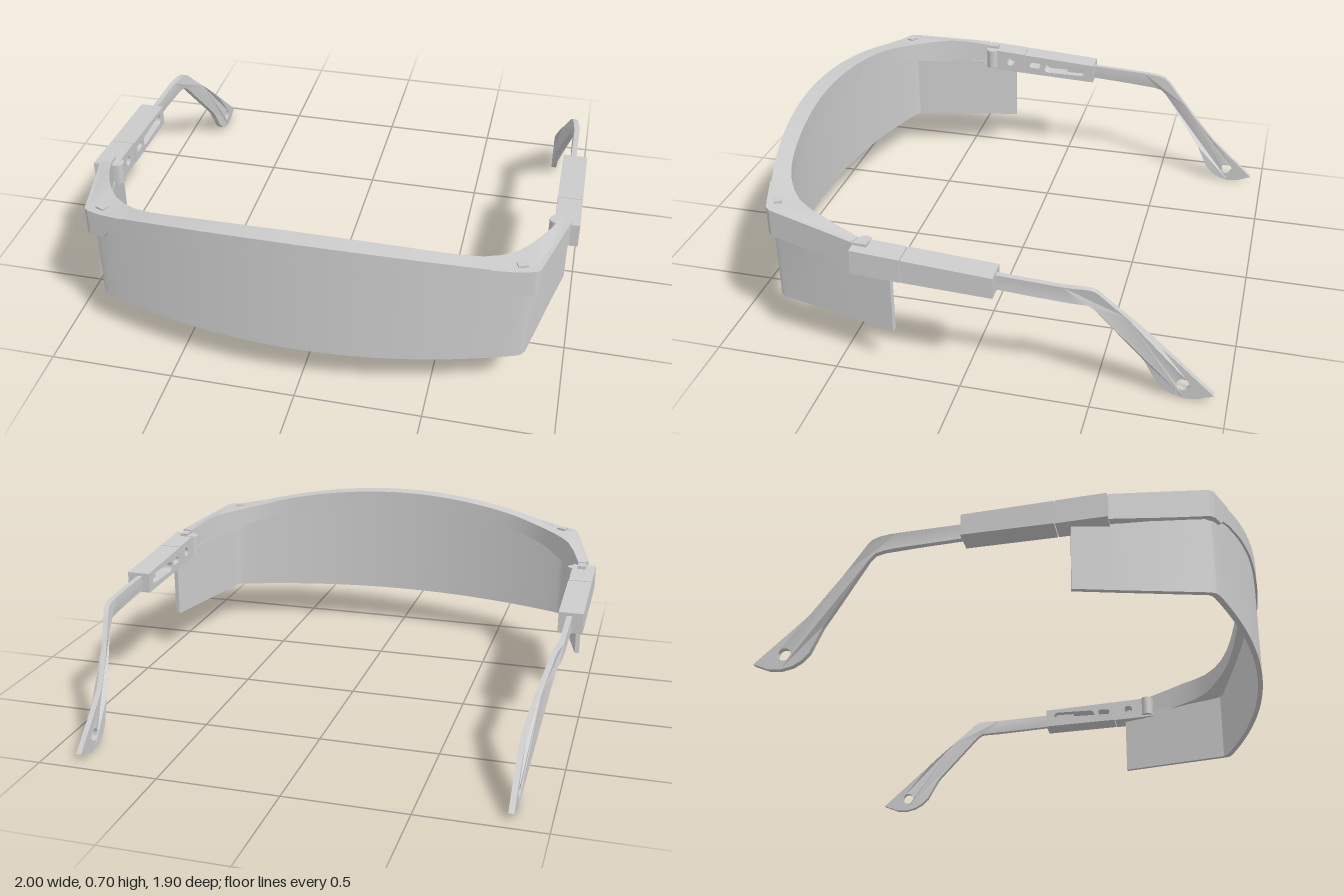
import * as THREE from 'three';
import { toCreasedNormals } from 'three/addons/utils/BufferGeometryUtils.js';

const grey = new THREE.MeshStandardMaterial({ color: 0xcccccc });

function addMesh(parent, name, geometry) {
  const mesh = new THREE.Mesh(geometry, grey);
  mesh.name = name;
  parent.add(mesh);
  return mesh;
}

// Piecewise-linear lookup in a short list of [x, value]
function lookup(table, x) {
  for (let i = 1; i < table.length; i++) {
    const [x0, v0] = table[i - 1], [x1, v1] = table[i];
    if (x <= x1) return THREE.MathUtils.lerp(v0, v1, (x - x0) / (x1 - x0));
  }
  return table[table.length - 1][1];
}

// Sweep a four-sided section; station = [outerX, outerZ, innerX, innerZ, top, bottom]
function loft(stations) {
  const rings = stations.map(([ox, oz, ix, iz, top, bottom]) => [
    [ox, bottom, oz], [ox, top, oz], [ix, top, iz], [ix, bottom, iz]]);
  const pos = [];
  const quad = (a, b, c, d) => pos.push(...a, ...b, ...c, ...a, ...c, ...d);
  for (let i = 0; i + 1 < rings.length; i++) {
    const r = rings[i], s = rings[i + 1];
    for (let k = 0; k < 4; k++) quad(r[k], s[k], s[(k + 1) % 4], r[(k + 1) % 4]);
  }
  quad(...rings[0]);
  quad(...[...rings[rings.length - 1]].reverse());
  const geometry = new THREE.BufferGeometry();
  geometry.setAttribute('position', new THREE.Float32BufferAttribute(pos, 3));
  return toCreasedNormals(geometry, 0.45);
}

// Complete a half list of stations (starting at x = 0) to both sides
function mirrored(half) {
  const other = half.slice(1).reverse().map(([ox, oz, ix, iz, t, b]) => [-ox, oz, -ix, iz, t, b]);
  return [...other, ...half];
}

// Side profile in (z, y), extruded inward from x = outer
function sideExtrude(points, outer, depth, holes = []) {
  const shape = new THREE.Shape(points.map(([z, y]) => new THREE.Vector2(z, y)));
  shape.holes.push(...holes);
  const geometry = new THREE.ExtrudeGeometry(shape, { depth, bevelEnabled: false, curveSegments: 16 });
  return geometry.rotateY(-Math.PI / 2).translate(outer, 0, 0);
}

function slot(z0, z1, y, r) {
  const path = new THREE.Path();
  path.absarc(z1, y, r, -Math.PI / 2, Math.PI / 2);
  path.absarc(z0, y, r, Math.PI / 2, Math.PI * 1.5);
  path.closePath();
  return path;
}

const frontZ = x => 0.948 - 0.22 * x * x;
const browTop = x => 0.70 - 0.16 * x * x;
const browBottom = [[0, 0.6], [0.17, 0.6], [0.2, 0.614], [0.35, 0.608], [0.55, 0.578], [0.7, 0.548], [0.8, 0.52]];

function buildFrame(group) {
  const half = [0, 0.06, 0.12, 0.17, 0.2, 0.28, 0.35, 0.42, 0.49, 0.55].map(x =>
    [x, frontZ(x), x * 0.97, 0.873 - 0.19 * x * x, browTop(x), lookup(browBottom, x)]);
  half.push(
    [0.62, frontZ(0.62), 0.6, 0.797, browTop(0.62), 0.564],
    [0.7, frontZ(0.7), 0.67, 0.768, 0.622, 0.548],
    [0.76, frontZ(0.76), 0.73, 0.732, 0.611, 0.53],
    [0.82, frontZ(0.82), 0.785, 0.685, 0.603, 0.505],
    [0.86, 0.786, 0.83, 0.625, 0.6, 0.492],
    [0.872, 0.772, 0.858, 0.575, 0.598, 0.488],
    [0.91, 0.62, 0.89, 0.5, 0.585, 0.476],
    [0.965, 0.41, 0.922, 0.4, 0.565, 0.46]);
  addMesh(group, 'browFrame', loft(mirrored(half)));
}

function buildLens(group) {
  const half = [];
  for (let i = 0; i <= 16; i++) {
    const x = 0.82 * i / 16;
    half.push([x, frontZ(x) - 0.01, x * 0.98, frontZ(x) - 0.03, lookup(browBottom, x) + 0.02, 0.185]);
  }
  half.push(
    [0.84, 0.778, 0.82, 0.762, 0.52, 0.185],
    [0.852, 0.758, 0.832, 0.75, 0.51, 0.185],
    [0.925, 0.43, 0.906, 0.426, 0.48, 0.185],
    [0.93, 0.41, 0.911, 0.406, 0.455, 0.185],
    [0.963, 0.27, 0.944, 0.266, 0.455, 0.185]);
  addMesh(group, 'wrapLens', loft(mirrored(half)));
}

function buildSide(name) {
  const side = new THREE.Group();
  side.name = name;

  // Raised corner cover with its slanted front edge
  addMesh(side, 'cornerCover', loft([
    [0.705, 0.843, 0.7, 0.82, 0.621, 0.615],
    [0.8, 0.814, 0.79, 0.79, 0.606, 0.498],
    [0.862, 0.792, 0.845, 0.77, 0.602, 0.488],
    [0.879, 0.774, 0.86, 0.755, 0.6, 0.487],
    [0.914, 0.63, 0.896, 0.62, 0.587, 0.474],
    [0.967, 0.41, 0.949, 0.41, 0.566, 0.459]]));

  // Small vent rib on top of the corner
  const rib = addMesh(side, 'ventRib', new THREE.BoxGeometry(0.04, 0.02, 0.03));
  rib.position.set(0.81, 0.602, 0.765);
  rib.rotation.y = 0.4;

  // Hinge: tongue from the frame and a vertical barrel
  addMesh(side, 'hingeTongue', new THREE.BoxGeometry(0.034, 0.1, 0.07).translate(0.942, 0.51, 0.39));
  addMesh(side, 'hingeBarrel', new THREE.CylinderGeometry(0.026, 0.026, 0.09, 24).translate(0.907, 0.503, 0.38));

  // Hinge block and adjusting sleeve: solid outside, openings inside
  const block = [[0.217, 0.44], [0.41, 0.45], [0.41, 0.55], [0.217, 0.538]];
  const sleeve = [[-0.135, 0.428], [0.213, 0.441], [0.213, 0.537], [-0.135, 0.515]];
  addMesh(side, 'hingeBlockOuter', sideExtrude(block, 1, 0.04));
  addMesh(side, 'hingeBlockInner', sideExtrude(block, 0.96, 0.058, [slot(0.285, 0.285, 0.493, 0.02)]));
  addMesh(side, 'sleeveOuter', sideExtrude(sleeve, 1, 0.04));
  addMesh(side, 'sleeveInner', sideExtrude(sleeve, 0.96, 0.06,
    [slot(-0.075, 0.09, 0.478, 0.022), slot(0.145, 0.175, 0.487, 0.014)]));

  // Temple bar: side outline with a cord hole, bent inward toward the tip
  const outline = [
    [0.0, 0.448], [-0.44, 0.421], [-0.475, 0.416], [-0.5, 0.395], [-0.68, 0.16], [-0.73, 0.06],
    [-0.76, 0.03], [-0.795, 0.01], [-0.84, 0], [-0.885, 0.004], [-0.948, 0.03], [-0.74, 0.22],
    [-0.56, 0.41], [-0.51, 0.465], [-0.49, 0.48], [-0.46, 0.486], [0.0, 0.508]];
  const fine = outline.flatMap(([z, y], i) => {
    const [z1, y1] = outline[(i + 1) % outline.length];
    const n = Math.max(1, Math.round(Math.hypot(z1 - z, y1 - y) / 0.04));
    return Array.from({ length: n }, (_, k) => [z + (z1 - z) * k / n, y + (y1 - y) * k / n]);
  });
  const temple = sideExtrude(fine.reverse(), 0.955, 0.022, [slot(-0.83, -0.83, 0.062, 0.025)]);
  const p = temple.attributes.position;
  for (let i = 0; i < p.count; i++) {
    p.setX(i, p.getX(i) - 0.09 * THREE.MathUtils.smoothstep(-p.getZ(i), 0.38, 0.78));
  }
  addMesh(side, 'temple', toCreasedNormals(temple, 0.5));
  return side;
}

export function createModel() {
  const model = new THREE.Group();
  model.name = 'safetyGlasses';
  buildFrame(model);
  buildLens(model);
  const left = buildSide('leftSide');
  const right = buildSide('rightSide');
  right.scale.x = -1;
  model.add(left, right);
  return model;
}
